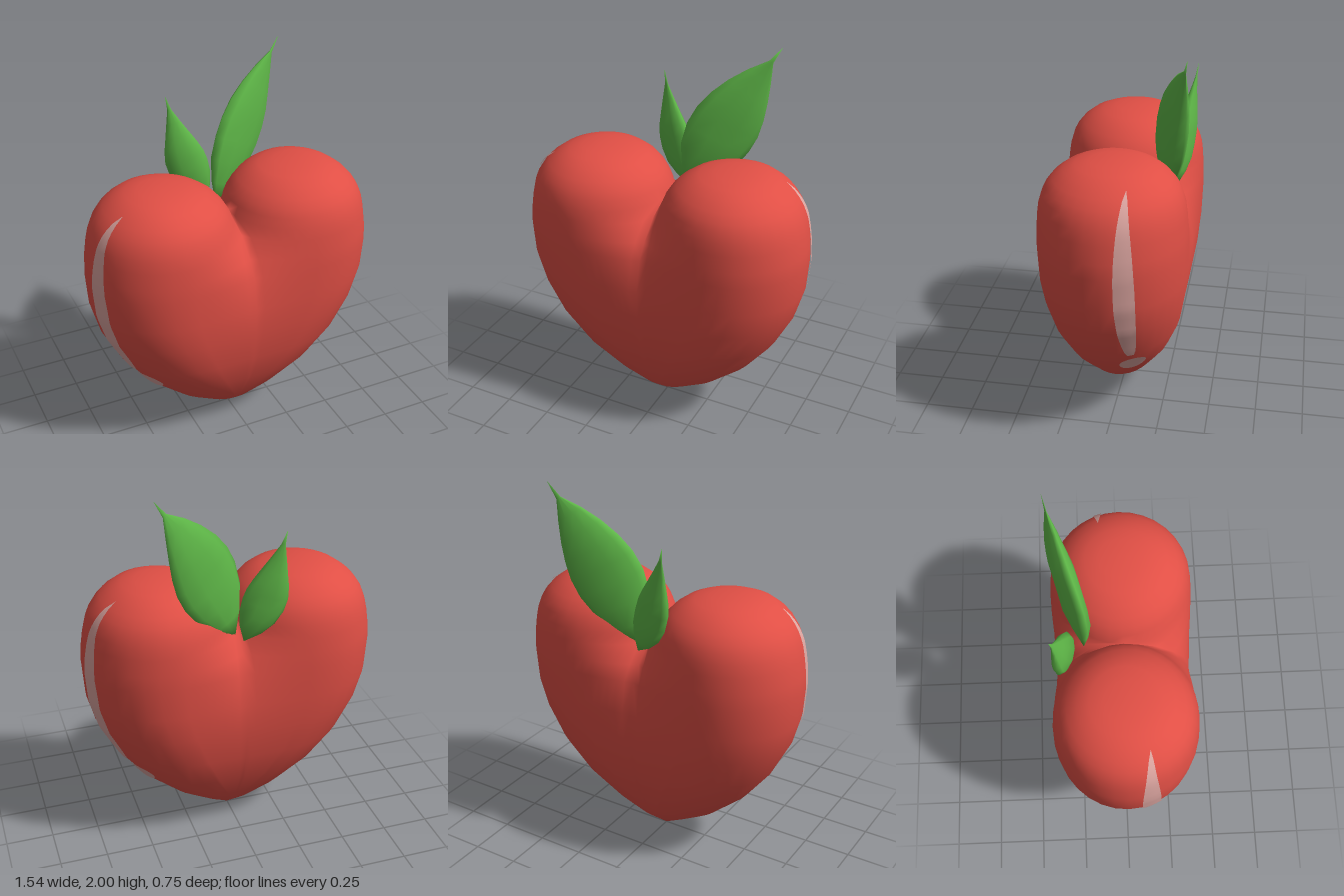
import * as THREE from 'three';
import { mergeGeometries, mergeVertices } from 'three/addons/utils/BufferGeometryUtils.js';

// Heart profile per height: y, outer x, inner x of the lobe, half depth, lobe centre x
const ROWS = [
  [0, 0, -3, 0, 0], [0.1, 0.165, -3, 0.115, 0.01], [0.19, 0.32, -3, 0.18, 0.05],
  [0.35, 0.5, -3, 0.27, 0.14], [0.52, 0.63, -2.5, 0.328, 0.23], [0.7, 0.72, -1.6, 0.357, 0.31],
  [0.85, 0.76, -0.9, 0.369, 0.36], [1.02, 0.77, -0.35, 0.373, 0.38], [1.1, 0.766, -0.16, 0.371, 0.38],
  [1.19, 0.752, -0.05, 0.365, 0.38], [1.25, 0.738, 0, 0.357, 0.38], [1.3, 0.718, 0.02, 0.342, 0.38],
  [1.34, 0.692, 0.045, 0.322, 0.38], [1.38, 0.655, 0.08, 0.29, 0.38], [1.42, 0.6, 0.135, 0.238, 0.38],
  [1.445, 0.545, 0.19, 0.18, 0.38], [1.46, 0.48, 0.27, 0.11, 0.38], [1.467, 0.38, 0.38, 0, 0.38],
];

// Skin between rings of points; rings run counterclockwise seen from the end
function loft(rings, flip = false) {
  const n = rings[0].length, index = [];
  for (let i = 0; i < rings.length - 1; i++) {
    for (let k = 0; k < n - 1; k++) {
      const a = i * n + k, b = a + 1, c = b + n, d = a + n;
      if (flip) index.push(a, c, b, a, d, c);
      else index.push(a, b, c, a, c, d);
    }
  }
  const g = new THREE.BufferGeometry();
  g.setAttribute('position', new THREE.Float32BufferAttribute(rings.flat(2), 3));
  g.setIndex(index);
  return g;
}

function smooth(g) {
  const merged = mergeVertices(g, 1e-4);
  merged.computeVertexNormals();
  return merged;
}

// One half of the heart, from the front seam round the outside to the back seam
function heartHalf(side) {
  const n = 16;
  const rings = ROWS.map(([y, xo, xi, d, cx]) => {
    const ri = cx - xi;
    const end = ri > cx ? Math.acos(-cx / ri) : Math.PI;
    const ring = [];
    for (let k = -n; k <= n; k++) {
      const t = Math.abs(k) / n;
      const a = t <= 0.5 ? Math.PI * t : Math.PI / 2 + (end - Math.PI / 2) * (2 * t - 1);
      const x = cx + (t <= 0.5 ? xo - cx : ri) * Math.cos(a);
      ring.push([side * x, y, -Math.sign(k) * d * Math.sin(a)]);
    }
    return ring;
  });
  return loft(rings, side < 0);
}

// Point just above the heart's outer side at a given height and depth
function onSide(y, z) {
  let i = 0;
  while (i < ROWS.length - 2 && ROWS[i + 1][0] < y) i++;
  const A = ROWS[i], B = ROWS[i + 1], t = (y - A[0]) / (B[0] - A[0]);
  const [, xo, , d, cx] = A.map((v, j) => v + (B[j] - v) * t);
  const s = Math.sqrt(Math.max(0, 1 - (z / d) ** 2));
  return [cx + (xo - cx) * s + 0.007, y + 0.004 * Math.max(0, (y - 1.2) / 0.25), z];
}

// Thin patch on the side: edges(t) gives height, front z and back z
function sidePatch(edges, rows) {
  const rings = [];
  for (let i = 0; i <= rows; i++) {
    const [y, z0, z1] = edges(i / rows);
    rings.push([0, 0.25, 0.5, 0.75, 1].map((u) => onSide(y, z0 + (z1 - z0) * u)));
  }
  return smooth(loft(rings));
}

// Leaf: flattened rings along a curved midrib
function leaf(points, across, widths, thickness) {
  const curve = new THREE.CatmullRomCurve3(points.map((p) => new THREE.Vector3(...p)));
  const rings = widths.map((w, i) => {
    const t = i / (widths.length - 1);
    const p = curve.getPoint(t), T = curve.getTangent(t);
    const W = new THREE.Vector3(...across);
    W.addScaledVector(T, -W.dot(T)).normalize();
    const N = new THREE.Vector3().crossVectors(T, W);
    const h = thickness * Math.min(1, w / widths[2]);
    const ring = [];
    for (let k = 0; k <= 10; k++) {
      const a = (k % 10) / 10 * Math.PI * 2;
      ring.push(p.clone().addScaledVector(W, w * Math.cos(a)).addScaledVector(N, h * Math.sin(a)).toArray());
    }
    return ring;
  });
  return smooth(loft(rings));
}

export function createModel() {
  const red = new THREE.MeshStandardMaterial({ color: 0xe04f45 });
  const green = new THREE.MeshStandardMaterial({ color: 0x5fb848 });
  const pink = new THREE.MeshStandardMaterial({ color: 0xdca5a0 });
  red.name = 'fruitRed';
  green.name = 'leafGreen';
  pink.name = 'shinePink';

  const model = new THREE.Group();
  model.name = 'heartFruit';
  const add = (name, geometry, material, parent = model) => {
    const mesh = new THREE.Mesh(geometry, material);
    mesh.name = name;
    parent.add(mesh);
  };

  // Body
  add('heartBody', smooth(mergeGeometries([heartHalf(1), heartHalf(-1)])), red);

  // Leaves
  add('largeLeaf', leaf(
    [[0.02, 1.18, -0.2], [0.165, 1.5, -0.25], [0.3, 1.76, -0.305], [0.455, 2.0, -0.355]],
    [0.9, 0, -0.4], [0, 0.09, 0.155, 0.18, 0.178, 0.155, 0.118, 0.07, 0.012, 0], 0.05), green);
  add('smallLeaf', leaf(
    [[0, 1.18, -0.27], [-0.09, 1.38, -0.295], [-0.14, 1.56, -0.315], [-0.19, 1.78, -0.345]],
    [0.95, 0, 0.25], [0, 0.06, 0.095, 0.108, 0.106, 0.09, 0.066, 0.038, 0.01, 0], 0.042), green);

  // Shine marks, one pair on each side, turned half way round
  const band = (t) => {
    const y = 0.51 + 0.9 * t, bulge = Math.sin(Math.PI * t) ** 0.6;
    const mid = -0.127 + 0.022 * t;
    return [y, mid + 0.015 * (1 - t) + 0.04 * bulge, mid - 0.015 * (1 - t) - 0.042 * bulge];
  };
  const dot = (t) => {
    const a = Math.PI * t, w = 0.062 * Math.sin(a);
    const y = 0.41 - 0.055 * Math.cos(a), mid = -0.123 - 0.012 * Math.cos(a) * -1;
    return [y, mid + w, mid - w];
  };
  for (const [name, turn] of [['leftShine', 0], ['rightShine', Math.PI]]) {
    const shine = new THREE.Group();
    shine.name = name;
    shine.rotation.y = turn;
    add('shineBand', sidePatch(band, 28), pink, shine);
    add('shineDot', sidePatch(dot, 14), pink, shine);
    model.add(shine);
  }
  return model;
}
